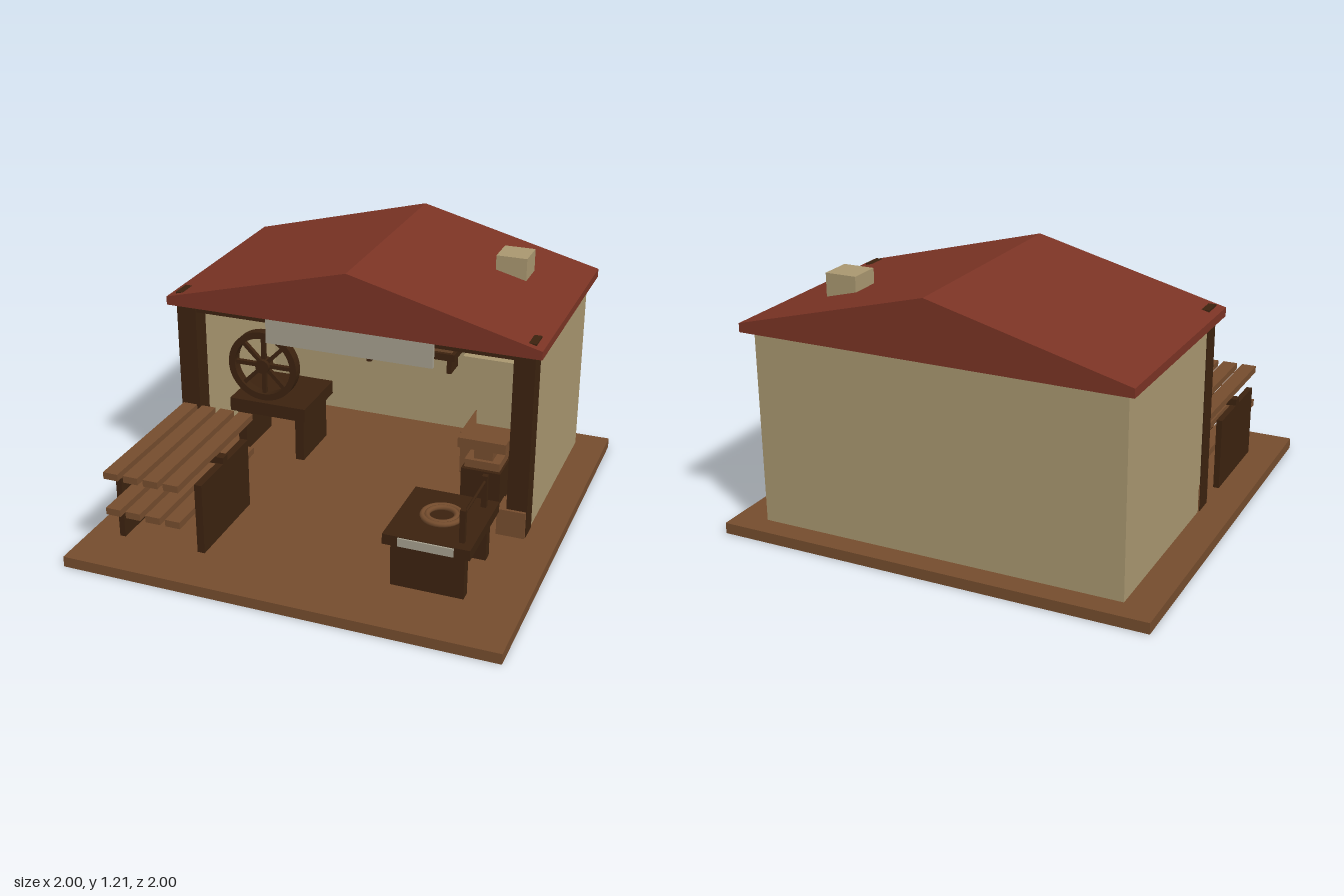
import * as THREE from 'three';

const mat = (name, color) => {
  const m = new THREE.MeshStandardMaterial({ color });
  m.name = name;
  return m;
};

export function createModel() {
  const wood = mat('brown wood', 0x744c2d);
  const dark = mat('dark wood', 0x3b220f);
  const plaster = mat('plaster', 0xa8966f);
  const red = mat('roof red', 0x7a3324);
  const grey = mat('pale grey', 0xa49e8d);

  const model = new THREE.Group();
  model.name = 'workshop';
  const group = (name) => {
    const g = new THREE.Group();
    g.name = name;
    model.add(g);
    return g;
  };
  const add = (parent, name, geometry, material) => {
    const m = new THREE.Mesh(geometry, material);
    m.name = name;
    parent.add(m);
    return m;
  };
  // Box given by its limits on each axis
  const box = (parent, name, material, x0, x1, y0, y1, z0, z1) => {
    const m = add(parent, name, new THREE.BoxGeometry(x1 - x0, y1 - y0, z1 - z0), material);
    m.position.set((x0 + x1) / 2, (y0 + y1) / 2, (z0 + z1) / 2);
    return m;
  };

  box(model, 'ground', wood, -1, 1, 0, 0.05, -1, 1);

  // Open-fronted building
  const house = group('building');
  box(house, 'backWall', plaster, -0.85, 0.85, 0.05, 0.945, -0.895, -0.845);
  for (const s of [-1, 1]) {
    const pair = (name, m, a, b, ...rest) =>
      box(house, name, m, Math.min(s * a, s * b), Math.max(s * a, s * b), ...rest);
    pair('sideWall', plaster, 0.8, 0.85, 0.05, 0.945, -0.845, 0.02);
    pair('post', dark, 0.76, 0.855, 0.05, 0.998, 0.013, 0.11);
    pair('crate', wood, 0.72, 0.852, 0.05, 0.18, 0, 0.125);
  }
  box(house, 'lintel', dark, -0.76, 0.76, 0.905, 0.945, 0.02, 0.1);
  box(house, 'signBoard', grey, -0.4, 0.4, 0.815, 0.942, 0.1, 0.122);

  // Solid gable roof with low eaves
  const gable = new THREE.Shape([
    [-0.89, 0.94], [0.89, 0.94], [0.89, 0.98], [0, 1.21], [-0.89, 0.98],
  ].map(([x, y]) => new THREE.Vector2(x, y)));
  const roof = add(house, 'roof', new THREE.ExtrudeGeometry(gable, { depth: 1.085, bevelEnabled: false }), red);
  roof.position.z = -0.945;

  // Forge with hood and chimney
  const forge = group('forge');
  box(forge, 'hearth', wood, 0.39, 0.76, 0.05, 0.27, -0.75, -0.38);
  box(forge, 'firebox', plaster, 0.45, 0.7, 0.27, 0.4, -0.69, -0.44);
  box(forge, 'hood', plaster, 0.39, 0.76, 0.4, 0.67, -0.75, -0.38);
  box(forge, 'chimney', plaster, 0.5, 0.647, 0.67, 1.15, -0.64, -0.49);

  // Anvil on its stump
  const anvil = group('anvil');
  box(anvil, 'anvilStump', dark, 0.48, 0.67, 0.05, 0.23, -0.29, -0.1);
  box(anvil, 'anvilFoot', wood, 0.49, 0.66, 0.23, 0.27, -0.27, -0.12);
  box(anvil, 'anvilWaist', wood, 0.53, 0.62, 0.27, 0.335, -0.24, -0.14);
  box(anvil, 'anvilTop', wood, 0.46, 0.69, 0.335, 0.385, -0.27, -0.1);

  // Wall shelf with three boxes
  const shelf = group('shelf');
  box(shelf, 'shelfBoard', dark, -0.25, 0.25, 0.483, 0.52, -0.845, -0.7);
  for (const x of [-0.218, 0.214]) box(shelf, 'bracket', dark, x - 0.012, x + 0.012, 0.4, 0.483, -0.845, -0.73);
  for (const x of [-0.17, 0, 0.17]) box(shelf, 'shelfBox', wood, x - 0.06, x + 0.06, 0.52, 0.57, -0.82, -0.72);

  // Workbench
  const bench = group('workbench');
  box(bench, 'benchTop', dark, -0.745, -0.345, 0.28, 0.348, -0.545, -0.18);
  for (const x of [-0.7, -0.39]) box(bench, 'benchLeg', dark, x - 0.022, x + 0.022, 0.05, 0.28, -0.51, -0.215);

  // Spoked wheel standing on the workbench
  const wheel = group('wheel');
  wheel.position.set(-0.575, 0.533, -0.225);
  const rim = new THREE.Shape().absarc(0, 0, 0.18, 0, Math.PI * 2);
  rim.holes.push(new THREE.Path().absarc(0, 0, 0.147, 0, Math.PI * 2, true));
  add(wheel, 'rim', new THREE.ExtrudeGeometry(rim, { depth: 0.05, bevelEnabled: false, curveSegments: 24 }), dark)
    .position.z = -0.025;
  for (let i = 0; i < 4; i++) {
    add(wheel, 'spokePair', new THREE.BoxGeometry(0.31, 0.02, 0.022), dark).rotation.z = i * Math.PI / 4;
  }
  add(wheel, 'hub', new THREE.CylinderGeometry(0.036, 0.036, 0.06, 16), dark).rotation.x = Math.PI / 2;

  // Slatted rack with solid ends
  const rack = group('rack');
  box(rack, 'rackEnd', dark, -0.857, -0.83, 0.05, 0.388, 0.28, 0.75);
  box(rack, 'rackEnd', dark, -0.467, -0.432, 0.05, 0.388, 0.28, 0.75);
  box(rack, 'upperRail', dark, -0.857, -0.432, 0.385, 0.418, 0.49, 0.535);
  box(rack, 'lowerRail', dark, -0.83, -0.467, 0.205, 0.24, 0.49, 0.535);
  for (const y of [0.418, 0.242]) {
    for (let i = 0; i < 4; i++) {
      const x = -0.83 + i * 0.0965;
      box(rack, 'slat', wood, x, x + 0.07, y, y + 0.032, 0.14, 0.89);
    }
  }

  // Front table with rope coil, plate and side rail
  const table = group('frontTable');
  box(table, 'tableTop', dark, 0.385, 0.77, 0.257, 0.305, 0.275, 0.71);
  for (const z of [0.335, 0.662]) box(table, 'tableLeg', dark, 0.415, 0.742, 0.05, 0.257, z - 0.025, z + 0.025);
  box(table, 'frontPlate', grey, 0.455, 0.7, 0.263, 0.302, 0.71, 0.718);
  for (const r of [0.084, 0.064]) {
    const ring = add(table, 'ropeCoil', new THREE.TorusGeometry(r, 0.012, 8, 28), wood);
    ring.rotation.x = Math.PI / 2;
    ring.position.set(0.577, 0.317, 0.49);
  }
  for (const z of [0.335, 0.65]) box(table, 'railPost', dark, 0.706, 0.73, 0.305, 0.457, z - 0.012, z + 0.012);
  const bar = add(table, 'railBar', new THREE.CylinderGeometry(0.007, 0.007, 0.315, 8), dark);
  bar.rotation.x = Math.PI / 2;
  bar.position.set(0.718, 0.43, 0.4925);

  return model;
}
